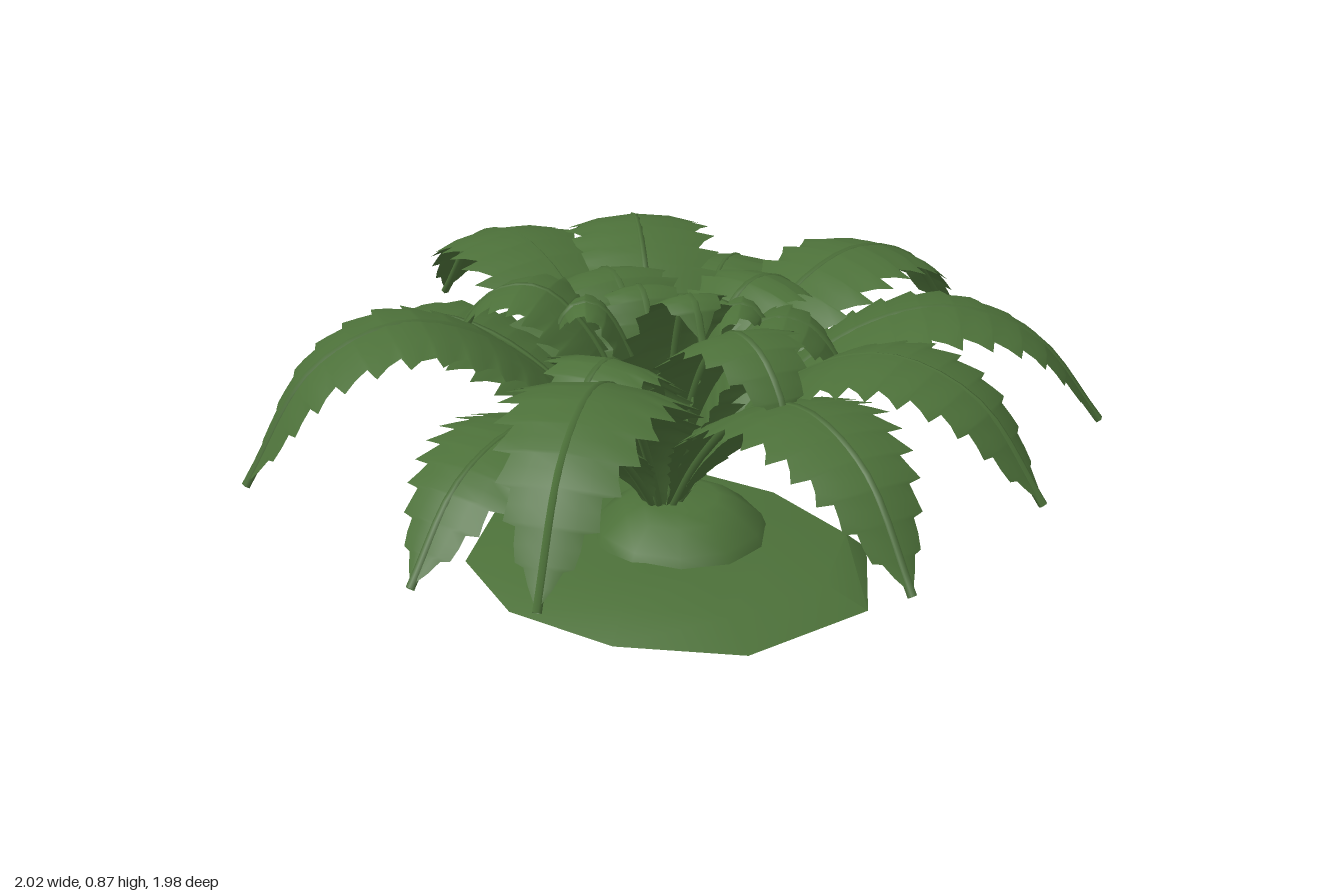
import * as THREE from 'three';
import { toCreasedNormals } from 'three/addons/utils/BufferGeometryUtils.js';

// Half width of a frond along its length (0 = root, 1 = tip)
const WIDTHS = [[0, 0.015], [0.08, 0.035], [0.2, 0.1], [0.3, 0.15], [0.4, 0.185], [0.5, 0.2], [0.62, 0.195],
  [0.73, 0.165], [0.83, 0.125], [0.92, 0.075], [1, 0.0]];

function widthAt(t) {
  let i = 1;
  while (i < WIDTHS.length - 1 && WIDTHS[i][0] < t) i++;
  const [a, wa] = WIDTHS[i - 1], [b, wb] = WIDTHS[i];
  return wa + (wb - wa) * (t - a) / (b - a);
}

// Toothed blade: cross-sections swept along the curve, edge width in a saw pattern
function bladeGeometry(curve, angle, scale, teeth) {
  const side = new THREE.Vector3(-Math.sin(angle), 0, Math.cos(angle));
  const rows = [];
  for (let i = 0; i < teeth; i++) {
    const a = i / teeth, step = 1 / teeth;
    const depth = a > 0.3 ? 0.78 : 0.94;
    rows.push([a, depth], [a + step * 0.45, 0.5 + depth / 2], [a + step * 0.9, 1.06]);
  }
  rows.push([1, 1]);
  const across = [-1, -0.55, 0, 0.55, 1];
  const pos = [], index = [];
  rows.forEach(([t, k], r) => {
    const p = curve.getPointAt(t);
    const normal = new THREE.Vector3().crossVectors(side, curve.getTangentAt(t)).normalize();
    const w = widthAt(t) * scale * k;
    for (const s of across) {
      const q = p.clone().addScaledVector(side, w * s).addScaledVector(normal, -0.18 * w * s * s);
      pos.push(q.x, q.y, q.z);
    }
    if (r === 0) return;
    for (let j = 0; j < 4; j++) {
      const a = (r - 1) * 5 + j, b = a + 5;
      index.push(a, a + 1, b, a + 1, b + 1, b);
    }
  });
  const g = new THREE.BufferGeometry();
  g.setAttribute('position', new THREE.Float32BufferAttribute(pos, 3));
  g.setIndex(index);
  g.computeVertexNormals();
  return g;
}

// One frond: blade plus midrib, following a profile of [radius, height] points
function frond(name, profile, angle, scale, teeth, material) {
  const curve = new THREE.CatmullRomCurve3(profile.map(([r, y]) =>
    new THREE.Vector3(Math.cos(angle) * r, y, Math.sin(angle) * r)));
  const group = new THREE.Group();
  group.name = name;
  const blade = new THREE.Mesh(bladeGeometry(curve, angle, scale, teeth), material);
  blade.name = 'blade';
  const rib = new THREE.Mesh(new THREE.TubeGeometry(curve, 24, 0.011, 5), material);
  rib.name = 'midrib';
  rib.position.y = -0.007;
  group.add(blade, rib);
  return group;
}

// Irregular low ground slab made of scaled rings
function slabGeometry() {
  const rim = [0.59, 0.54, 0.49, 0.49, 0.51, 0.52, 0.54, 0.43, 0.43, 0.53];
  const rings = [[0.005, 0.02], [0.02, 0.55], [0.09, 1], [0.135, 0.8], [0.155, 0.5], [0.16, 0.02]];
  const n = rim.length, pos = [], index = [];
  rings.forEach(([y, f], r) => {
    rim.forEach((radius, i) => {
      const a = i / n * Math.PI * 2;
      // The back edge is blunter than the front
      const blunt = Math.sin(a) < -0.5 && (r === 1 || r === 3) ? 1.12 : 1;
      const bump = r > 0 && r < 5 ? 0.008 * Math.sin(i * 2.3 + r) : 0;
      pos.push(Math.cos(a) * radius * f * blunt, y + bump, Math.sin(a) * radius * f * blunt);
      if (r === 0) return;
      const p = (r - 1) * n + i, q = (r - 1) * n + (i + 1) % n;
      index.push(p, p + n, q, q, p + n, q + n);
    });
  });
  const g = new THREE.BufferGeometry();
  g.setAttribute('position', new THREE.Float32BufferAttribute(pos, 3));
  g.setIndex(index);
  return toCreasedNormals(g, 0.5);
}

export function createModel() {
  const model = new THREE.Group();
  model.name = 'fernPlant';
  const green = new THREE.MeshStandardMaterial({ color: 0x4c7039, side: THREE.DoubleSide });
  green.name = 'leafGreen';

  // Ground slab and root mound
  const slab = new THREE.Mesh(slabGeometry(), green);
  slab.name = 'groundSlab';
  const moundProfile = [[0.235, 0.13], [0.215, 0.18], [0.15, 0.23], [0.1, 0.25], [0, 0.255]]
    .map(([r, y]) => new THREE.Vector2(r, y));
  const mound = new THREE.Mesh(new THREE.LatheGeometry(moundProfile, 11), green);
  mound.name = 'rootMound';
  mound.position.set(0.03, 0, -0.03);
  model.add(slab, mound);

  // Outer fronds: tip x, tip z, peak height, tip height
  const outer = [
    [1.0, -0.03, 0.77, 0.49], [0.92, -0.59, 0.77, 0.47], [0.33, -0.98, 0.78, 0.5], [-0.25, -0.9, 0.69, 0.43],
    [-0.64, -0.8, 0.78, 0.47], [-1.0, -0.4, 0.77, 0.49], [-0.93, 0.25, 0.68, 0.44], [-0.63, 0.83, 0.82, 0.47],
    [-0.03, 0.97, 0.67, 0.44], [0.31, 0.98, 0.81, 0.49], [0.91, 0.46, 0.73, 0.46],
  ];
  for (const [x, z, peak, tip] of outer) {
    const R = Math.hypot(x, z), h = peak - 0.23;
    const profile = [[0.03, 0.23], [0.15 * R, 0.23 + h * 0.37], [0.32 * R, 0.23 + h * 0.74], [0.48 * R, 0.23 + h * 0.94],
      [0.64 * R, peak], [0.83 * R, tip + (peak - tip) * 0.76], [R, tip]];
    model.add(frond('outerFrond', profile, Math.atan2(z, x), 1, 17, green));
  }

  // Inner fronds: tip x, tip z, peak height
  const inner = [[0.13, -0.5, 0.77], [0.42, -0.17, 0.77], [0.5, 0.27, 0.83],
    [0.03, 0.45, 0.74], [-0.51, 0.16, 0.8], [-0.4, -0.25, 0.77]];
  for (const [x, z, peak] of inner) {
    const R = Math.hypot(x, z), h = peak - 0.23;
    const profile = [[0.02, 0.23], [0.16 * R, 0.23 + h * 0.4], [0.36 * R, 0.23 + h * 0.8],
      [0.58 * R, peak - 0.01], [0.78 * R, peak - 0.02], [0.93 * R, peak - 0.09], [R, peak - 0.17]];
    model.add(frond('innerFrond', profile, Math.atan2(z, x), 0.9, 15, green));
  }

  // Upright fronds in the heart of the plant: direction in degrees, peak height
  for (const [degrees, peak] of [[38, 0.87], [145, 0.79], [-140, 0.76], [-25, 0.79], [-85, 0.74]]) {
    const h = peak - 0.23;
    const profile = [[0.015, 0.23], [0.04, 0.23 + h * 0.4], [0.09, 0.23 + h * 0.78], [0.16, peak - 0.01],
      [0.22, peak - 0.01], [0.27, peak - 0.09]];
    model.add(frond('heartFrond', profile, THREE.MathUtils.degToRad(degrees), 0.72, 12, green));
  }
  return model;
}
